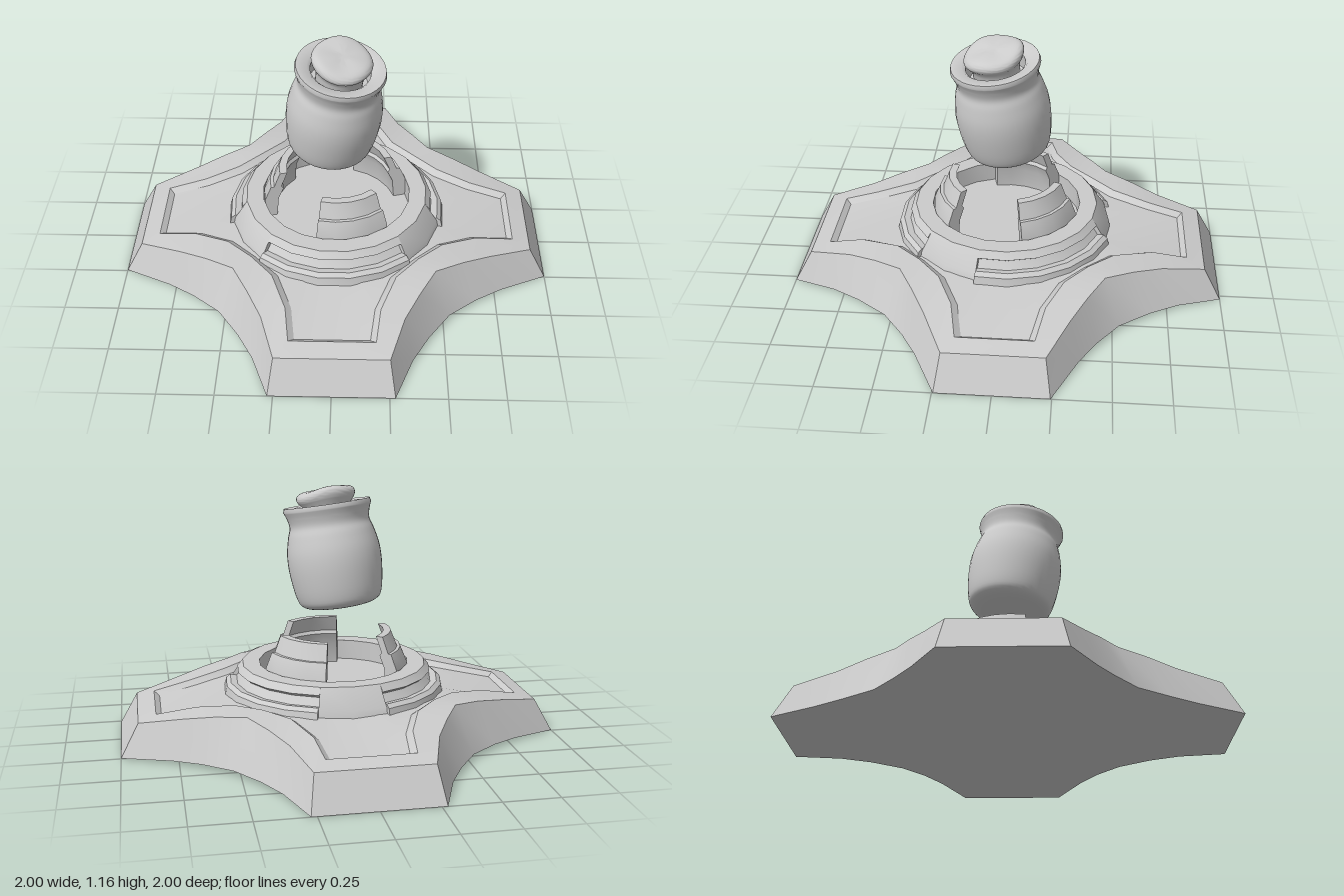
import * as THREE from 'three';
import { mergeGeometries, toCreasedNormals } from 'three/addons/utils/BufferGeometryUtils.js';

const grey = new THREE.MeshStandardMaterial({ color: 0xcccccc });
const greyDouble = new THREE.MeshStandardMaterial({ color: 0xcccccc, side: THREE.DoubleSide });
const rad = THREE.MathUtils.degToRad;
const vec2 = (pts) => pts.map(([x, y]) => new THREE.Vector2(x, y));

function addMesh(parent, name, geometry, material = grey) {
  const mesh = new THREE.Mesh(geometry, material);
  mesh.name = name;
  parent.add(mesh);
  return mesh;
}

// Mirror one quadrant of [x, z, y] points into a full loop
function fullLoop(quad) {
  const back = [...quad].reverse();
  return [
    ...quad,
    ...back.map(([x, z, y]) => [-x, z, y]),
    ...quad.map(([x, z, y]) => [-x, -z, y]),
    ...back.map(([x, z, y]) => [x, -z, y]),
  ].map(([x, z, y]) => [x, y, z]);
}

// Join loops of equal length; a one-point loop at either end closes it
function loft(loops) {
  const n = Math.max(...loops.map((l) => l.length));
  const pos = [];
  for (let i = 0; i + 1 < loops.length; i++) {
    const lo = loops[i], hi = loops[i + 1];
    for (let k = 0; k < n; k++) {
      const a = lo[k % lo.length], b = lo[(k + 1) % lo.length];
      const c = hi[k % hi.length], d = hi[(k + 1) % hi.length];
      if (hi.length > 1) pos.push(...a, ...c, ...d);
      if (lo.length > 1) pos.push(...a, ...d, ...b);
    }
  }
  const g = new THREE.BufferGeometry();
  g.setAttribute('position', new THREE.Float32BufferAttribute(pos, 3));
  return toCreasedNormals(g, rad(25));
}

// Closed (radius, height) profile swept around part of a circle, with flat ends
function sector(profile, centre, span, segments) {
  const start = rad(centre - span / 2), length = rad(span);
  const pts = vec2(profile);
  const parts = [new THREE.LatheGeometry([...pts, pts[0].clone()], segments, start, length)];
  for (const phi of [start, start + length]) {
    parts.push(new THREE.ShapeGeometry(new THREE.Shape(pts)).rotateY(phi - Math.PI / 2));
  }
  return toCreasedNormals(mergeGeometries(parts), rad(28));
}

function smoothLathe(points, segments = 36) {
  return toCreasedNormals(new THREE.LatheGeometry(vec2(points), segments), rad(40));
}

// Rounded outline through a few profile points
function curve(points, count) {
  return new THREE.SplineCurve(vec2(points)).getPoints(count).map((p) => [Math.max(0, p.x), p.y]);
}

export function createModel() {
  const model = new THREE.Group();
  model.name = 'vesselOnPedestal';

  // Four-armed base with concave sides and a sunken top panel
  const foot = [[1, 0.245, 0], [0.78, 0.355, 0.015], [0.66, 0.43, 0.02], [0.53, 0.53, 0.02],
    [0.43, 0.67, 0.02], [0.355, 0.8, 0.015], [0.275, 1, 0]];
  const edge = [[0.92, 0.22, 0.15], [0.72, 0.315, 0.19], [0.59, 0.385, 0.215], [0.46, 0.46, 0.23],
    [0.385, 0.59, 0.215], [0.315, 0.72, 0.19], [0.25, 0.92, 0.15]];
  const rim = [[0.84, 0.17, 0.17], [0.66, 0.205, 0.205], [0.5, 0.28, 0.228], [0.385, 0.385, 0.235],
    [0.28, 0.5, 0.228], [0.21, 0.68, 0.205], [0.19, 0.84, 0.17]];
  const panel = [[0.815, 0.145, 0.153], [0.64, 0.18, 0.185], [0.48, 0.255, 0.205], [0.365, 0.365, 0.212],
    [0.255, 0.48, 0.205], [0.185, 0.66, 0.185], [0.165, 0.815, 0.153]];
  const hub = panel.map(([x, z]) => {
    const r = Math.hypot(x, z);
    return [(0.41 * x) / r, (0.41 * z) / r, 0.215];
  });
  addMesh(model, 'base', loft([
    [[0, 0.015, 0]], ...[foot, edge, rim, panel, hub].map(fullLoop), [[0, 0.215, 0]],
  ]));

  // Raised collar: three grooved stretches joined by plain ones
  const collar = new THREE.Group();
  collar.name = 'collar';
  collar.position.z = 0.015;
  model.add(collar);
  const plain = [[0.35, 0.19], [0.5, 0.19], [0.49, 0.235], [0.43, 0.325], [0.41, 0.325], [0.35, 0.325]];
  const grooved = [[0.35, 0.19], [0.52, 0.19], [0.51, 0.235], [0.49, 0.25], [0.46, 0.245],
    [0.435, 0.28], [0.455, 0.295], [0.43, 0.325], [0.35, 0.325]];
  // Clamps inside the collar, stepped at mid height and leaning in
  const clamp = [[0.29, 0.22], [0.35, 0.22], [0.345, 0.33], [0.315, 0.4], [0.3, 0.4],
    [0.27, 0.475], [0.235, 0.475], [0.265, 0.4], [0.255, 0.385], [0.28, 0.33]];
  for (let i = 0; i < 3; i++) {
    const turn = i * 120;
    addMesh(collar, 'groovedCollar', sector(grooved, turn, 84, 5), greyDouble);
    addMesh(collar, 'plainCollar', sector(plain, turn + 60, 36, 2), greyDouble);
    addMesh(collar, 'clamp', sector(clamp, turn + 15, 58, 4), greyDouble);
  }
  addMesh(collar, 'collarFloor', new THREE.CylinderGeometry(0.352, 0.352, 0.03, 24)).position.y = 0.215;

  // Floating jar, tilted forward and to its left
  const jar = new THREE.Group();
  jar.name = 'jar';
  jar.position.set(-0.01, 0.8, 0.03);
  jar.rotation.set(0.13, 0, -0.12);
  model.add(jar);
  const wall = curve([[0, -0.213], [0.11, -0.212], [0.175, -0.195], [0.2, -0.15], [0.216, -0.04],
    [0.216, 0.05], [0.2, 0.13], [0.186, 0.175], [0.192, 0.215], [0.205, 0.25]], 40);
  addMesh(jar, 'jarBody', smoothLathe([
    ...wall, [0.2, 0.268], [0.15, 0.264], [0.135, 0.25], [0.13, 0.18], [0, 0.18],
  ]));

  // Stopper with a flared, slightly uneven cap
  const stopper = smoothLathe([
    [0.105, 0.17], [0.107, 0.24], [0.115, 0.265],
    ...curve([[0.13, 0.282], [0.137, 0.3], [0.132, 0.318], [0.11, 0.331], [0.06, 0.335], [0, 0.333]], 16),
  ]);
  const p = stopper.attributes.position;
  for (let i = 0; i < p.count; i++) {
    const x = p.getX(i), z = p.getZ(i);
    const lift = THREE.MathUtils.smoothstep(p.getY(i), 0.24, 0.32);
    p.setY(i, p.getY(i) + lift * (-0.08 * z - 0.04 * x + 0.006 * Math.sin(3 * Math.atan2(z, x)) * Math.hypot(x, z) / 0.13));
  }
  stopper.deleteAttribute('normal');
  stopper.deleteAttribute('uv');
  addMesh(jar, 'stopper', toCreasedNormals(stopper, rad(50)));

  return model;
}
